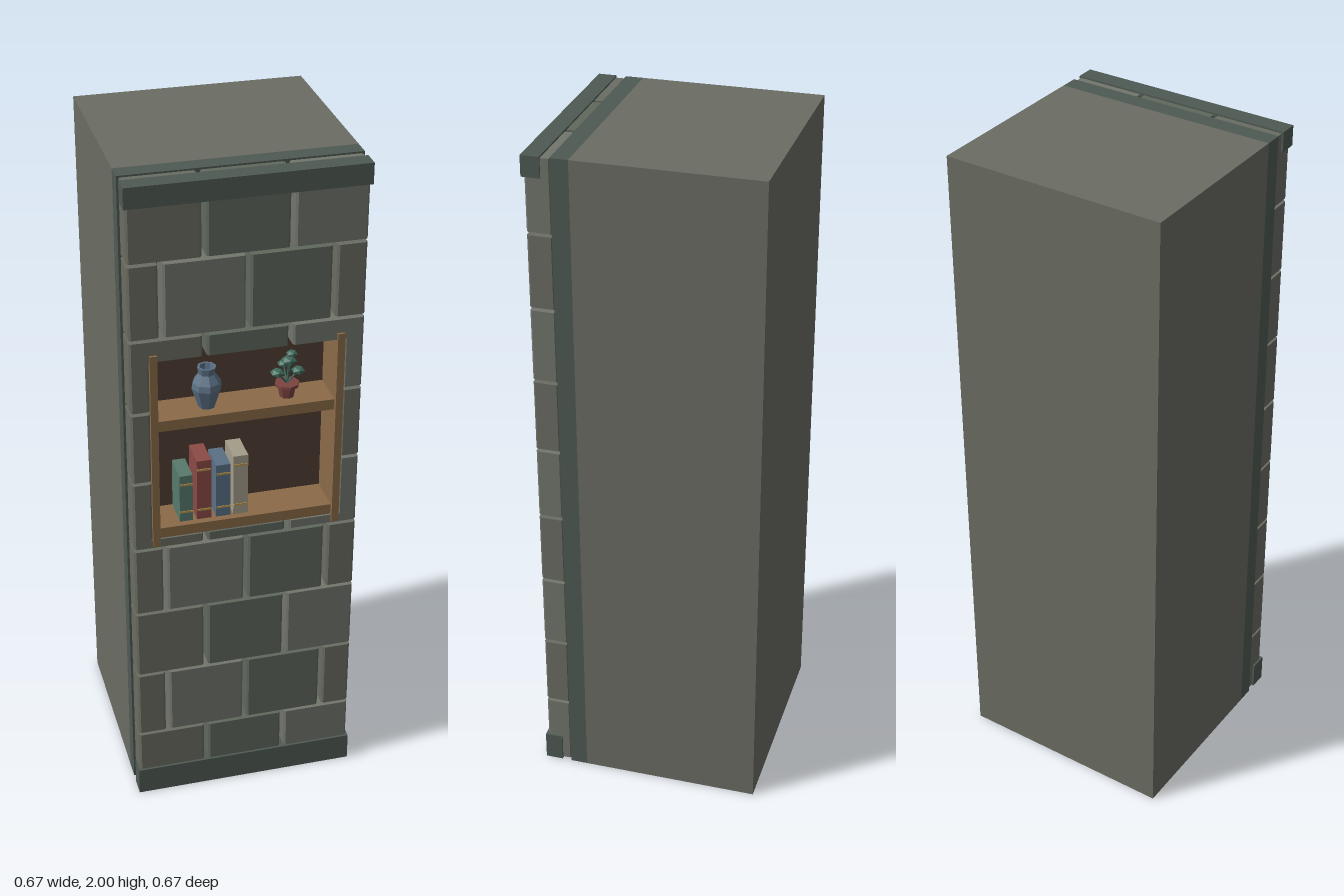
import * as THREE from 'three';

const mat = (color, extra = {}) => new THREE.MeshStandardMaterial({ color, ...extra });
const M = {
  body: mat(0x6b6d63), mortar: mat(0x4f5a53),
  mid: mat(0x6a6d63), light: mat(0x72756c), dark: mat(0x60685d),
  wood: mat(0x8b6a48), back: mat(0x513e33), gold: mat(0xb8964f),
  vase: mat(0x5c7186, { flatShading: true }),
  pot: mat(0x7d4440, { flatShading: true }),
  leaf: mat(0x3f6b5c, { flatShading: true }),
};

// Niche opening in the front wall
const N = { x: 0.273, y0: 0.92, y1: 1.49 };

function add(parent, name, geometry, material, x = 0, y = 0, z = 0) {
  const mesh = new THREE.Mesh(geometry, material);
  mesh.name = name;
  mesh.position.set(x, y, z);
  parent.add(mesh);
  return mesh;
}

// Box given by its lower and upper limits on each axis
function block(parent, name, material, x0, x1, y0, y1, z0, z1) {
  return add(parent, name, new THREE.BoxGeometry(x1 - x0, y1 - y0, z1 - z0), material,
    (x0 + x1) / 2, (y0 + y1) / 2, (z0 + z1) / 2);
}

// Stone block with chamfered vertical edges
function stone(parent, material, x0, x1, y0, y1) {
  if (x1 - x0 < 0.015 || y1 - y0 < 0.008) return;
  const z0 = 0.251, z1 = 0.326, c = 0.006;
  const s = new THREE.Shape([
    [x0 + c, -z0], [x0, -z0 - c], [x0, -z1 + c], [x0 + c, -z1],
    [x1 - c, -z1], [x1, -z1 + c], [x1, -z0 - c], [x1 - c, -z0],
  ].map(([x, y]) => new THREE.Vector2(x, y)));
  const g = new THREE.ExtrudeGeometry(s, { depth: y1 - y0, bevelEnabled: false });
  g.rotateX(-Math.PI / 2);
  add(parent, 'stone', g, material, 0, y0, 0);
}

// Nine staggered courses, cut around the niche
function stoneWall() {
  const wall = new THREE.Group();
  wall.name = 'stoneWall';
  const pitch = 2 / 9, gap = 0.0065;
  for (let row = 0; row < 9; row++) {
    const odd = row % 2 === 1;
    const joints = odd ? [-0.334, -0.238, 0, 0.238, 0.334] : [-0.334, -0.12, 0.12, 0.334];
    const tones = odd ? [M.mid, M.light, M.dark] : [M.mid, M.dark, M.light];
    const y0 = row * pitch + 0.005, y1 = (row + 1) * pitch - 0.005;
    for (let i = 0; i < joints.length - 1; i++) {
      const x0 = joints[i] + gap, x1 = joints[i + 1] - gap, m = tones[i % 3];
      if (y1 <= N.y0 || y0 >= N.y1) {
        stone(wall, m, x0, x1, y0, y1);
        continue;
      }
      const a = Math.max(y0, N.y0), b = Math.min(y1, N.y1);
      stone(wall, m, x0, x1, y0, a);
      stone(wall, m, x0, x1, b, y1);
      stone(wall, m, x0, Math.min(x1, -N.x), a, b);
      stone(wall, m, Math.max(x0, N.x), x1, a, b);
    }
  }
  return wall;
}

// Wooden lining, back board and shelves
function niche() {
  const g = new THREE.Group();
  g.name = 'nicheShelves';
  block(g, 'nicheBack', M.back, -0.255, 0.255, N.y0, N.y1, 0.195, 0.206);
  for (const s of [-1, 1]) {
    const side = block(g, 'nicheSide', M.wood, -0.0105, 0.0105, 0.9, 1.51, 0.202, 0.333);
    side.position.x = s * 0.2625;
  }
  for (const y of [0.92, 1.268]) block(g, 'shelf', M.wood, -0.252, 0.252, y, y + 0.032, 0.203, 0.32);
  return g;
}

// Row of books with bands across the spines
function books() {
  const g = new THREE.Group();
  g.name = 'books';
  const list = [
    [-0.188, 0.038, 0.15, 0x567a6c], [-0.138, 0.042, 0.192, 0x8c4a45],
    [-0.082, 0.042, 0.17, 0x5a7086], [-0.032, 0.043, 0.192, 0xa39d8a],
  ];
  for (const [x, w, h, color] of list) {
    block(g, 'book', mat(color), x, x + w, 0.952, 0.952 + h, 0.207, 0.3);
    for (const y of [0.98, 0.952 + h - 0.032])
      block(g, 'spineBand', M.gold, x + 0.001, x + w - 0.001, y, y + 0.006, 0.295, 0.302);
  }
  return g;
}

// Faceted vase
function vase() {
  const profile = [[0, 0], [0.024, 0], [0.043, 0.06], [0.04, 0.078], [0.023, 0.103],
    [0.027, 0.124], [0.02, 0.124], [0.017, 0.1], [0, 0.1]];
  return new THREE.LatheGeometry(profile.map(([x, y]) => new THREE.Vector2(x, y)), 8);
}

// Potted plant with flattened leaf clumps
function plant() {
  const g = new THREE.Group();
  g.name = 'pottedPlant';
  add(g, 'pot', new THREE.CylinderGeometry(0.028, 0.021, 0.036, 8), M.pot, 0, 0.018, 0);
  add(g, 'potRim', new THREE.CylinderGeometry(0.035, 0.035, 0.009, 8), M.pot, 0, 0.038, 0);
  const clumps = [[-0.03, 0.078, 0.005, 0.021], [0.004, 0.11, 0, 0.023],
    [0.029, 0.08, 0.008, 0.02], [0.014, 0.127, -0.006, 0.017], [-0.004, 0.088, -0.025, 0.018]];
  for (const [x, y, z, r] of clumps) {
    const path = new THREE.LineCurve3(new THREE.Vector3(0, 0.04, 0), new THREE.Vector3(x, y, z));
    add(g, 'stem', new THREE.TubeGeometry(path, 1, 0.003, 5), M.leaf);
    add(g, 'leaf', new THREE.IcosahedronGeometry(r, 0), M.leaf, x, y, z).scale.y = 0.6;
  }
  return g;
}

export function createModel() {
  const model = new THREE.Group();
  model.name = 'stoneColumn';

  block(model, 'columnBody', M.body, -0.333, 0.333, 0, 2, -0.333, 0.2);

  // Mortar layer with the niche opening
  const rect = (T, x, y0, y1) => new T([[-x, y0], [x, y0], [x, y1], [-x, y1]]
    .map(([a, b]) => new THREE.Vector2(a, b)));
  const panel = rect(THREE.Shape, 0.333, 0, 2);
  panel.holes.push(rect(THREE.Path, N.x, N.y0, N.y1));
  add(model, 'mortarPanel', new THREE.ExtrudeGeometry(panel, { depth: 0.052, bevelEnabled: false }),
    M.mortar, 0, 0, 0.2);

  model.add(stoneWall());

  // Plinth and cornice strips
  block(model, 'bottomTrim', M.mortar, -0.333, 0.333, 0, 0.086, 0.28, 0.333);
  block(model, 'topTrim', M.mortar, -0.333, 0.333, 1.94, 2, 0.28, 0.333);

  model.add(niche(), books());
  add(model, 'vase', vase(), M.vase, -0.1, 1.3, 0.265);
  const pottedPlant = plant();
  pottedPlant.position.set(0.13, 1.3, 0.265);
  model.add(pottedPlant);
  return model;
}
